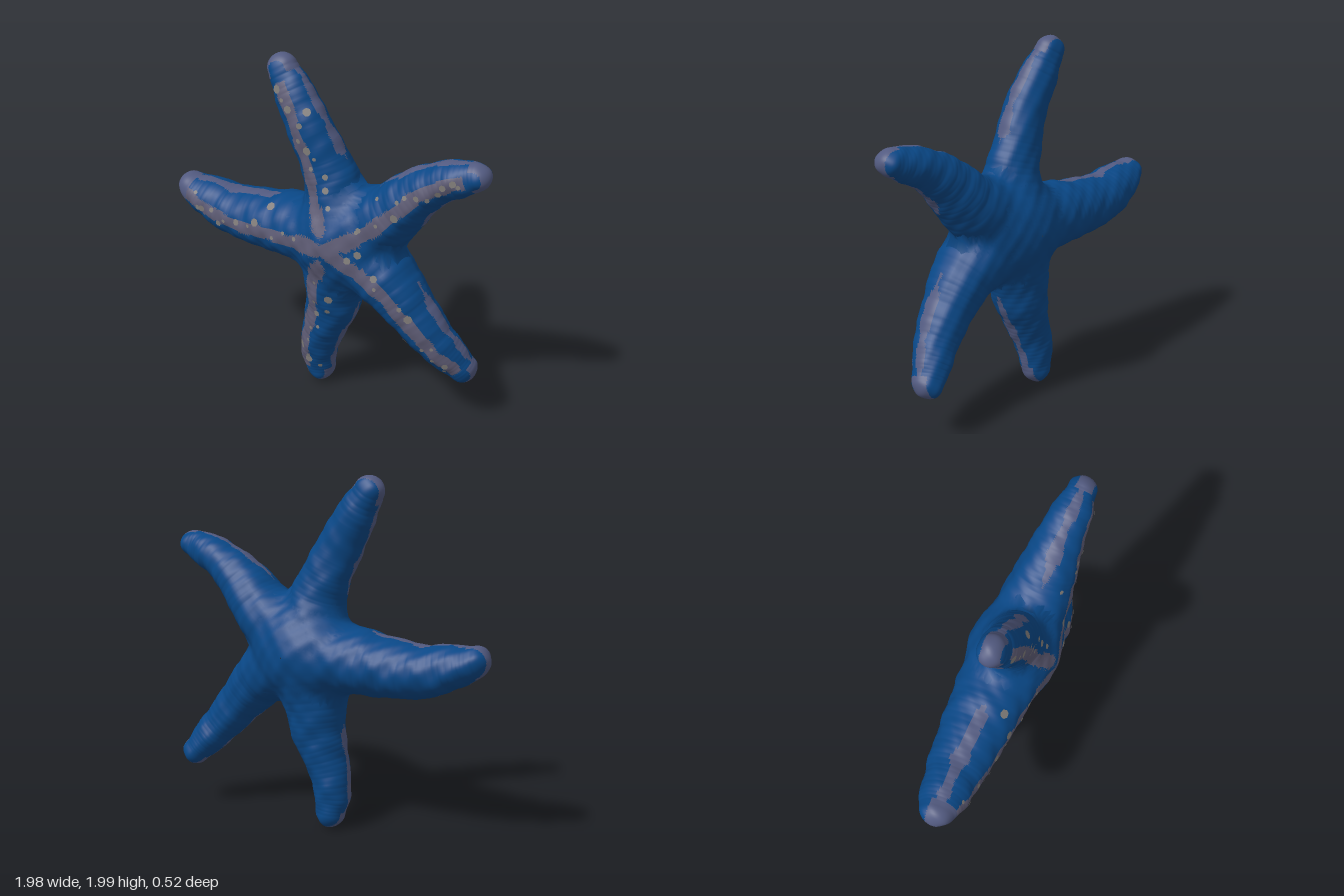
import * as THREE from 'three';

const material = (name, color) => Object.assign(new THREE.MeshStandardMaterial({ color }), { name });
const skin = material('blue skin', 0x094786);
const ridge = material('grey ridge', 0x5f5d76);
const edge = material('slate edge', 0x525a80);
const pale = material('pale spot', 0x827e7b);

// Arm spines from the shared centre to the tip: x, y, z, radius.
// depth is thickness against width, shift moves the ridge sideways at base and tip
const CENTRE = [0.12, 1.0, 0, 0.21];
const ARMS = [
  { name: 'topArm', depth: 0.9, shift: [-0.085, 0.01], path: [[0.06, 1.29, 0.02, 0.16], [0.0, 1.45, 0.025, 0.138], [-0.07, 1.6, 0.035, 0.13], [-0.16, 1.76, 0.02, 0.118], [-0.25, 1.91, 0, 0.085]] },
  { name: 'upperLeftArm', depth: 1.1, shift: [0, 0], path: [[0.4, 1.19, 0.045, 0.172], [0.53, 1.32, 0.07, 0.145], [0.66, 1.43, 0.09, 0.118], [0.8, 1.5, 0.115, 0.1], [0.91, 1.535, 0.13, 0.075]] },
  { name: 'lowerLeftArm', depth: 1.1, shift: [0.01, 0.01], path: [[0.4, 0.825, 0.06, 0.172], [0.53, 0.69, 0.07, 0.142], [0.68, 0.51, 0.055, 0.115], [0.77, 0.405, 0.02, 0.1], [0.837, 0.328, -0.01, 0.08]] },
  { name: 'bottomArm', depth: 1, shift: [-0.08, -0.05], path: [[0.06, 0.72, -0.01, 0.178], [0.04, 0.55, -0.02, 0.152], [-0.02, 0.37, -0.025, 0.125], [-0.06, 0.21, -0.045, 0.105], [-0.055, 0.09, -0.06, 0.083]] },
  { name: 'rightArm', depth: 1.15, shift: [0, 0], greyTip: true, path: [[-0.18, 0.985, -0.04, 0.185], [-0.38, 0.975, -0.065, 0.168], [-0.6, 0.975, -0.09, 0.146], [-0.78, 1.02, -0.1, 0.12], [-0.9, 1.06, -0.105, 0.088]] },
];
const SAMPLES = 26, ROWS = 92, CAP = 12, SIDES = 68, BLEND = 0.03, REACH = 0.31;

// Sampled spine
function prepare(arm) {
  const pts = [CENTRE, ...arm.path];
  arm.curve = new THREE.CatmullRomCurve3(pts.map(p => new THREE.Vector3(p[0], p[1], p[2])));
  arm.samples = [];
  for (let i = 0; i <= SAMPLES; i++) {
    const f = (i / SAMPLES) * (pts.length - 1), k = Math.min(Math.floor(f), pts.length - 2);
    arm.samples.push({ p: arm.curve.getPoint(i / SAMPLES), r: THREE.MathUtils.lerp(pts[k][3], pts[k + 1][3], f - k) });
  }
}

// Spine point with N facing the front and B sideways
function frame(arm, u) {
  const T = arm.curve.getTangent(u);
  const N = new THREE.Vector3(0, 0, 1).addScaledVector(T, -T.z).normalize();
  return { P: arm.curve.getPoint(u), T, N, B: new THREE.Vector3().crossVectors(T, N) };
}

// Distance from a point to one tapered arm, and the place along it
function armDistance(arm, x, y, z) {
  let best = Infinity, s = 0;
  for (let i = 0; i < SAMPLES; i++) {
    const a = arm.samples[i], b = arm.samples[i + 1];
    const dx = b.p.x - a.p.x, dy = b.p.y - a.p.y, dz = b.p.z - a.p.z;
    const px = x - a.p.x, py = y - a.p.y, pz = z - a.p.z;
    const t = Math.min(1, Math.max(0, (px * dx + py * dy + pz * dz) / (dx * dx + dy * dy + dz * dz)));
    const ex = px - t * dx, ey = py - t * dy;
    // the centre stays round, so depth fades in over the first samples
    const ez = (pz - t * dz) / (1 + (arm.depth - 1) * Math.min(1, (i + t) / 5));
    const d = Math.sqrt(ex * ex + ey * ey + ez * ez) - a.r - t * (b.r - a.r);
    if (d < best) { best = d; s = (i + t) / SAMPLES; }
  }
  return { d: best, s };
}

// Softly blended body with a slightly lumpy skin
function field(x, y, z) {
  let sum = 0;
  for (const arm of ARMS) sum += Math.exp(-armDistance(arm, x, y, z).d / BLEND);
  const lumps = 0.004 * Math.sin(27 * x + 2 * y) * Math.sin(25 * y + 1) + 0.0025 * Math.sin(49 * x + 31 * z) * Math.sin(45 * y + 23 * z);
  return -BLEND * Math.log(sum) + lumps;
}

// Walk from inside to the skin
function toSkin(P, dir) {
  let t = 0;
  for (let i = 0; i < 28; i++) {
    const d = field(P.x + dir.x * t, P.y + dir.y * t, P.z + dir.z * t);
    t -= d * 0.85;
    if (t > REACH) { t = REACH; break; }
    if (Math.abs(d) < 0.0005) break;
  }
  return P.clone().addScaledVector(dir, t);
}

function normalAt(p) {
  const e = 0.004, f = field(p.x, p.y, p.z);
  return new THREE.Vector3(field(p.x + e, p.y, p.z) - f, field(p.x, p.y + e, p.z) - f, field(p.x, p.y, p.z + e) - f).normalize();
}

// 0 blue skin, 1 grey ridge, 2 slate edges and tips
function colourAt(p) {
  let near = null, arm = null;
  for (const a of ARMS) {
    const h = armDistance(a, p.x, p.y, p.z);
    if (!near || h.d < near.d) { near = h; arm = a; }
  }
  const s = near.s, { P, N, B } = frame(arm, s);
  const v = p.clone().sub(P), side = v.dot(B), front = v.dot(N);
  const angle = Math.abs(Math.atan2(side, front));
  const wave = Math.sin(s * 23 + arm.path[0][0] * 40 + Math.sign(side)) + 0.5 * Math.sin(s * 47 + arm.path[0][1] * 30);
  const lift = front / v.length();
  if (s > 0.96 && lift > -0.45 && (arm.greyTip || lift < 0.78)) return 2;
  const shift = THREE.MathUtils.lerp(arm.shift[0], arm.shift[1], s) * Math.min(1, s * 6);
  const width = 0.037 + 0.006 * wave + (s < 0.12 ? 0.012 : 0);
  if (front > 0 && s < (arm.greyTip ? 1 : 0.9) && Math.abs(side - shift * Math.sign(B.x)) < width) return 1;
  if (s > 0.29 && Math.abs(angle - 1.45) < 0.27 * Math.min(1, (s - 0.29) * 8) + 0.07 * wave) return 2;
  return 0;
}

function buildArm(arm) {
  const points = [], positions = [], normals = [], lists = [[], [], []];
  for (let i = 0; i <= ROWS + CAP; i++) {
    const { P, T, N, B } = frame(arm, Math.min(1, i / ROWS));
    const tilt = Math.max(0, i - ROWS) / CAP * Math.PI / 2;
    for (let j = 0; j <= SIDES; j++) {
      const a = (j % SIDES) / SIDES * Math.PI * 2;
      const dir = N.clone().multiplyScalar(Math.cos(a)).addScaledVector(B, Math.sin(a))
        .multiplyScalar(Math.cos(tilt)).addScaledVector(T, Math.sin(tilt));
      const p = toSkin(P, dir), n = normalAt(p);
      points.push(p);
      positions.push(p.x, p.y, p.z);
      normals.push(n.x, n.y, n.z);
    }
  }
  const face = (a, b, c) => {
    const mid = points[a].clone().add(points[b]).add(points[c]).divideScalar(3);
    lists[colourAt(mid)].push(a, b, c);
  };
  for (let i = 0; i < ROWS + CAP; i++) for (let j = 0; j < SIDES; j++) {
    const a = i * (SIDES + 1) + j, c = a + SIDES + 1;
    face(a, a + 1, c);
    face(a + 1, c + 1, c);
  }
  const g = new THREE.BufferGeometry();
  g.setAttribute('position', new THREE.Float32BufferAttribute(positions, 3));
  g.setAttribute('normal', new THREE.Float32BufferAttribute(normals, 3));
  g.setIndex(lists.flat());
  let start = 0;
  lists.forEach((list, m) => {
    g.addGroup(start, list.length, m);
    start += list.length;
  });
  const mesh = new THREE.Mesh(g, [skin, ridge, edge]);
  mesh.name = arm.name;
  return mesh;
}

// Small pale plates scattered over the front of each arm
function buildSpots(arm, random) {
  const spots = new THREE.Group();
  spots.name = arm.name + 'Spots';
  for (let i = 0; i < 13; i++) {
    const { P, N, B } = frame(arm, 0.08 + 0.86 * (i + random() * 0.7) / 13);
    const a = (random() - 0.5) * (i % 3 ? 0.7 : 1.7);
    const p = toSkin(P, N.clone().multiplyScalar(Math.cos(a)).addScaledVector(B, Math.sin(a)));
    const n = normalAt(p);
    const spot = new THREE.Mesh(new THREE.CircleGeometry(0.011 + 0.016 * random() ** 2, 7), pale);
    spot.name = 'spot';
    spot.position.copy(p).addScaledVector(n, 0.004);
    spot.quaternion.setFromUnitVectors(new THREE.Vector3(0, 0, 1), n);
    spots.add(spot);
  }
  return spots;
}

export function createModel() {
  const model = new THREE.Group();
  model.name = 'starfish';
  let seed = 7;
  const random = () => (seed = (seed * 16807) % 2147483647) / 2147483647;
  ARMS.forEach(prepare);
  for (const arm of ARMS) model.add(buildArm(arm), buildSpots(arm, random));
  return model;
}
